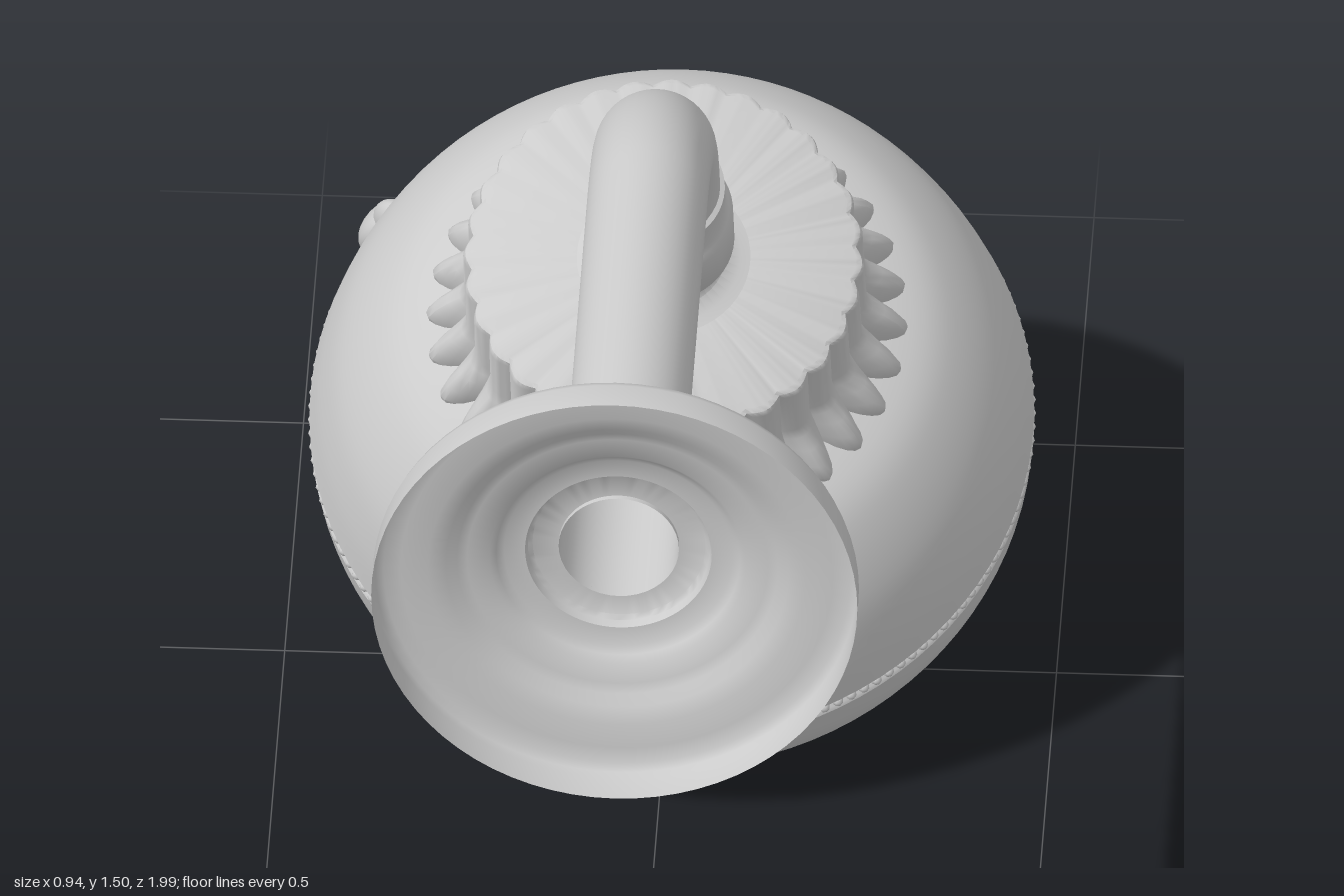
import * as THREE from 'three';
import { mergeGeometries, toCreasedNormals } from 'three/addons/utils/BufferGeometryUtils.js';

const TILT = THREE.MathUtils.degToRad(28);
const PIPE_Y = 1.19;
const grey = new THREE.MeshStandardMaterial({ color: 0xcccccc });
const greyThin = new THREE.MeshStandardMaterial({ color: 0xcccccc, side: THREE.DoubleSide });

function add(parent, name, geometry, material = grey) {
  const mesh = new THREE.Mesh(geometry, material);
  mesh.name = name;
  parent.add(mesh);
  return mesh;
}

// Revolved profile of [radius, height] points, listed bottom to top
function lathe(points, segments = 96, crease = 0.6) {
  const profile = points.map(([r, y]) => new THREE.Vector2(r, y));
  return toCreasedNormals(new THREE.LatheGeometry(profile, segments), crease);
}

// Smooth run of profile points through a few control points
function smooth(points, count) {
  const curve = new THREE.SplineCurve(points.map(([r, y]) => new THREE.Vector2(r, y)));
  return curve.getPoints(count).map((p) => [p.x, p.y]);
}

// Copies of one geometry set in a ring around the y axis
function ring(geometry, count, radius, y, phase = 0) {
  return Array.from({ length: count }, (_, i) => {
    const a = ((i + phase) / count) * Math.PI * 2;
    return geometry.clone().translate(radius, y, 0).rotateY(a);
  });
}

// Grip nut: each profile point is [radius, height, rib depth]
function ribbedNut(profile, ribs) {
  const geo = new THREE.LatheGeometry(profile.map(([r, y]) => new THREE.Vector2(r, y)), ribs * 8);
  const pos = geo.attributes.position;
  for (let i = 0; i < pos.count; i++) {
    const [r, , depth] = profile[i % profile.length];
    if (r === 0) continue;
    const x = pos.getX(i), z = pos.getZ(i);
    const wave = Math.abs(Math.cos((Math.atan2(x, z) * ribs) / 2));
    const k = (r - depth * (1 - wave)) / r;
    pos.setX(i, x * k);
    pos.setZ(i, z * k);
  }
  return toCreasedNormals(geo, 0.7);
}

function buildFlange(parent) {
  // Thin stepped wall plate, open towards the wall
  const profile = [
    [0.078, 0.873], [0.112, 0.873], [0.118, 0.878], [0.121, 0.89], [0.148, 0.892],
    [0.158, 0.899], [0.166, 0.908], [0.195, 0.911], [0.208, 0.916], [0.222, 0.926],
    [0.245, 0.934], [0.28, 0.936], [0.302, 0.939], [0.312, 0.946], [0.315, 0.956], [0.315, 1.0],
  ];
  const flange = add(parent, 'wallFlange', lathe(profile, 72, 0.9), greyThin);
  flange.rotation.x = Math.PI / 2;
  flange.position.y = PIPE_Y;
}

function buildPipe(parent) {
  // Straight run, bend and short drop into the collar
  const R = 0.38, z0 = 0.129, turn = Math.PI / 2 - TILT;
  const points = [];
  for (let i = 0; i < 8; i++) points.push(new THREE.Vector3(0, PIPE_Y, 0.88 + (z0 - 0.88) * (i / 8)));
  for (let i = 0; i <= 12; i++) {
    const a = (turn * i) / 12;
    points.push(new THREE.Vector3(0, PIPE_Y - R * (1 - Math.cos(a)), z0 - R * Math.sin(a)));
  }
  const end = points[points.length - 1].clone();
  points.push(end.add(new THREE.Vector3(0, -Math.cos(TILT) * 0.06, -Math.sin(TILT) * 0.06)));
  const path = new THREE.CatmullRomCurve3(points);
  add(parent, 'supplyPipe', new THREE.TubeGeometry(path, 90, 0.078, 40, false), greyThin);
}

function buildHead(parent) {
  const head = new THREE.Group();
  head.name = 'showerHead';
  head.position.set(0, 0.784, -0.315);
  head.rotation.x = TILT;
  parent.add(head);

  // Collar and neck between pipe and nut
  add(head, 'neckCollar', lathe([
    [0.125, -0.004], [0.1, 0.004], [0.082, 0.014], [0.075, 0.028], [0.075, 0.052], [0.09, 0.052],
    [0.093, 0.058], [0.093, 0.135], [0.088, 0.145], [0.084, 0.155], [0.084, 0.205], [0.076, 0.21],
  ], 48));

  // Ribbed nut with a flared skirt of teeth
  add(head, 'gripNut', ribbedNut([
    [0.285, -0.215, 0.03], [0.31, -0.2, 0.04], [0.312, -0.185, 0.04], [0.302, -0.165, 0.034],
    [0.284, -0.142, 0.024], [0.268, -0.125, 0.014], [0.261, -0.11, 0.011], [0.26, -0.012, 0.01],
    [0.257, -0.004, 0.008], [0.25, 0, 0.006], [0, 0, 0],
  ], 32));

  // Upper dome
  const dome = smooth([
    [0.469, -0.462], [0.453, -0.395], [0.425, -0.32], [0.379, -0.25], [0.33, -0.205], [0.25, -0.17],
  ], 24);
  add(head, 'upperDome', lathe([[0.455, -0.472], [0.466, -0.467], ...dome]));

  // Lower bowl with spray face and shallow centre disc
  const bowl = smooth([
    [0.395, -0.655], [0.425, -0.633], [0.448, -0.59], [0.463, -0.54], [0.469, -0.484],
  ], 16);
  add(head, 'lowerBowl', lathe([
    [0, -0.652], [0.2, -0.651], [0.285, -0.645], [0.298, -0.64], [0.305, -0.655],
    ...bowl, [0.466, -0.479], [0.455, -0.473],
  ]));

  // Beaded seam
  const bead = new THREE.SphereGeometry(0.0075, 8, 6);
  add(head, 'seamBeads', mergeGeometries(ring(bead, 150, 0.464, -0.473)));

  // Two staggered rows of round nozzles
  const nub = new THREE.SphereGeometry(0.018, 12, 8).scale(1, 1.2, 1);
  add(head, 'outerNozzles', mergeGeometries([
    ...ring(nub, 30, 0.388, -0.659), ...ring(nub, 30, 0.343, -0.659, 0.5),
  ]));

  // Tapered nozzles on the centre disc
  const tip = new THREE.CylinderGeometry(0.018, 0.009, 0.034, 12).rotateZ(0.25);
  add(head, 'innerNozzles', mergeGeometries([
    ...ring(tip, 12, 0.235, -0.662), ...ring(tip, 8, 0.13, -0.662, 0.5),
  ]));

  // Spray selector tab on the rim
  const lever = new THREE.Group();
  lever.name = 'selectorLever';
  lever.rotation.y = Math.PI - 0.67;
  head.add(lever);
  const stem = add(lever, 'leverStem', new THREE.SphereGeometry(1, 24, 16));
  stem.scale.set(0.045, 0.055, 0.026);
  stem.position.set(0.463, -0.535, 0);
  const tab = add(lever, 'leverTab', new THREE.SphereGeometry(1, 24, 16));
  tab.scale.set(0.026, 0.056, 0.038);
  tab.position.set(0.497, -0.572, 0);
  tab.rotation.z = 0.25;
}

export function createModel() {
  const model = new THREE.Group();
  model.name = 'wallShower';
  buildFlange(model);
  buildPipe(model);
  buildHead(model);
  return model;
}
